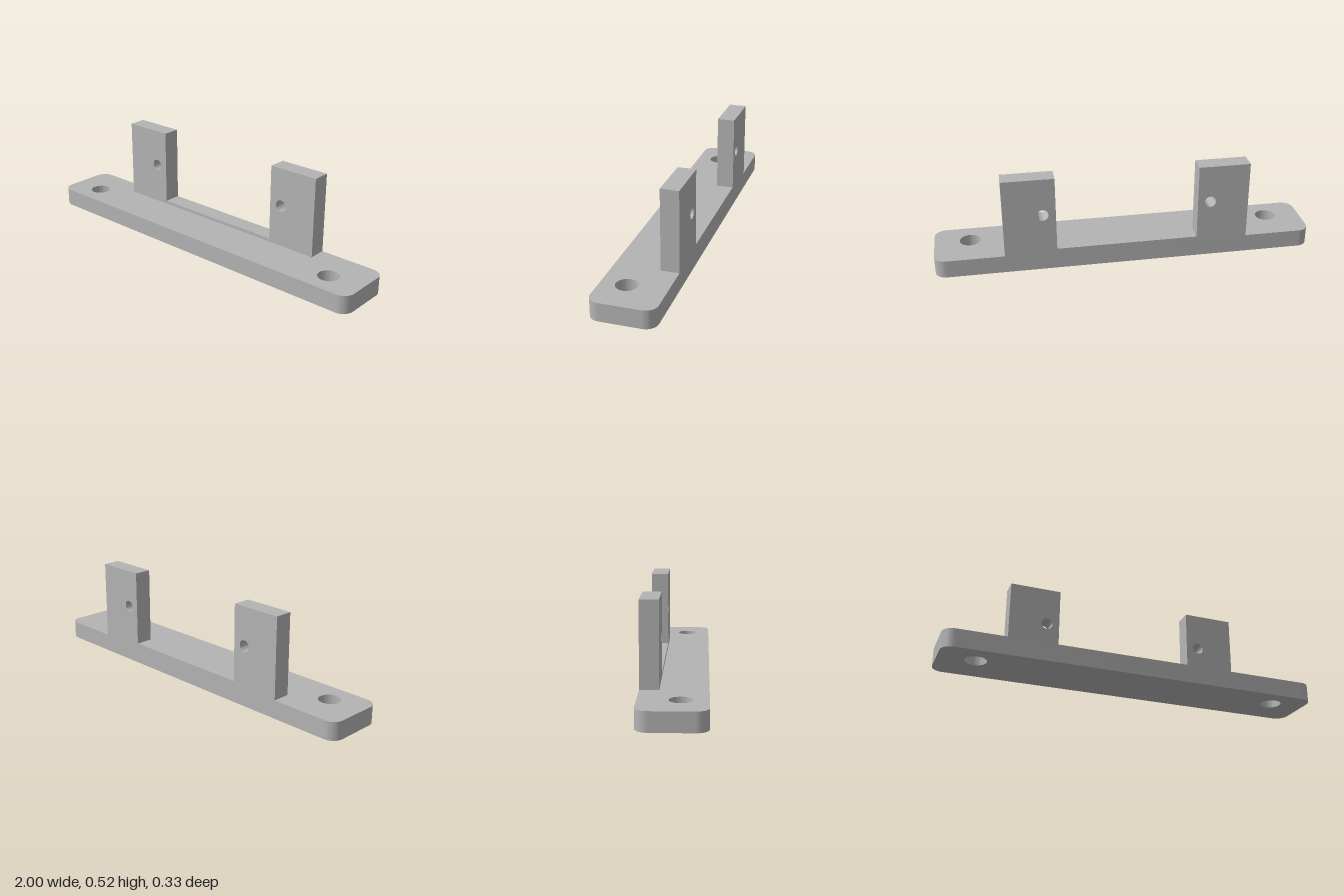
import * as THREE from 'three';
import { toCreasedNormals } from 'three/addons/utils/BufferGeometryUtils.js';

const BASE_H = 0.095, HALF_D = 0.163, CORNER = 0.06;
const POST_IN = 0.37, POST_OUT = 0.64, POST_TOP = 0.516, LIP_TOP = 0.113, POST_D = 0.093;

function addHole(shape, x, y, r) {
  const hole = new THREE.Path();
  hole.absarc(x, y, r, 0, Math.PI * 2, true);
  shape.holes.push(hole);
}

function extrude(shape, depth) {
  const geo = new THREE.ExtrudeGeometry(shape, { depth, bevelEnabled: false, curveSegments: 24 });
  return toCreasedNormals(geo, 0.6);
}

export function createModel() {
  const grey = new THREE.MeshStandardMaterial({ color: 0xb4b4b4 });
  grey.name = 'grey';
  const group = new THREE.Group();
  group.name = 'mountingBracket';

  // Base plate: rounded rectangle with two screw holes
  const plate = new THREE.Shape();
  const cx = 1 - CORNER, cy = HALF_D - CORNER;
  [[cx, cy], [-cx, cy], [-cx, -cy], [cx, -cy]].forEach(([x, y], i) =>
    plate.absarc(x, y, CORNER, i * Math.PI / 2, (i + 1) * Math.PI / 2, false));
  for (const s of [-1, 1]) addHole(plate, s * 0.813, -0.035, 0.055);
  const base = new THREE.Mesh(extrude(plate, BASE_H).rotateX(-Math.PI / 2), grey);
  base.name = 'basePlate';
  group.add(base);

  // Two uprights joined by a low lip, each with a cross hole
  const outline = new THREE.Shape([
    [-POST_OUT, BASE_H], [POST_OUT, BASE_H], [POST_OUT, POST_TOP], [POST_IN, POST_TOP],
    [POST_IN, LIP_TOP], [-POST_IN, LIP_TOP], [-POST_IN, POST_TOP], [-POST_OUT, POST_TOP],
  ].map(([x, y]) => new THREE.Vector2(x, y)));
  for (const s of [-1, 1]) addHole(outline, s * 0.437, 0.315, 0.03);
  const uprights = new THREE.Mesh(extrude(outline, POST_D).translate(0, 0, -HALF_D), grey);
  uprights.name = 'uprightsAndLip';
  group.add(uprights);

  return group;
}
